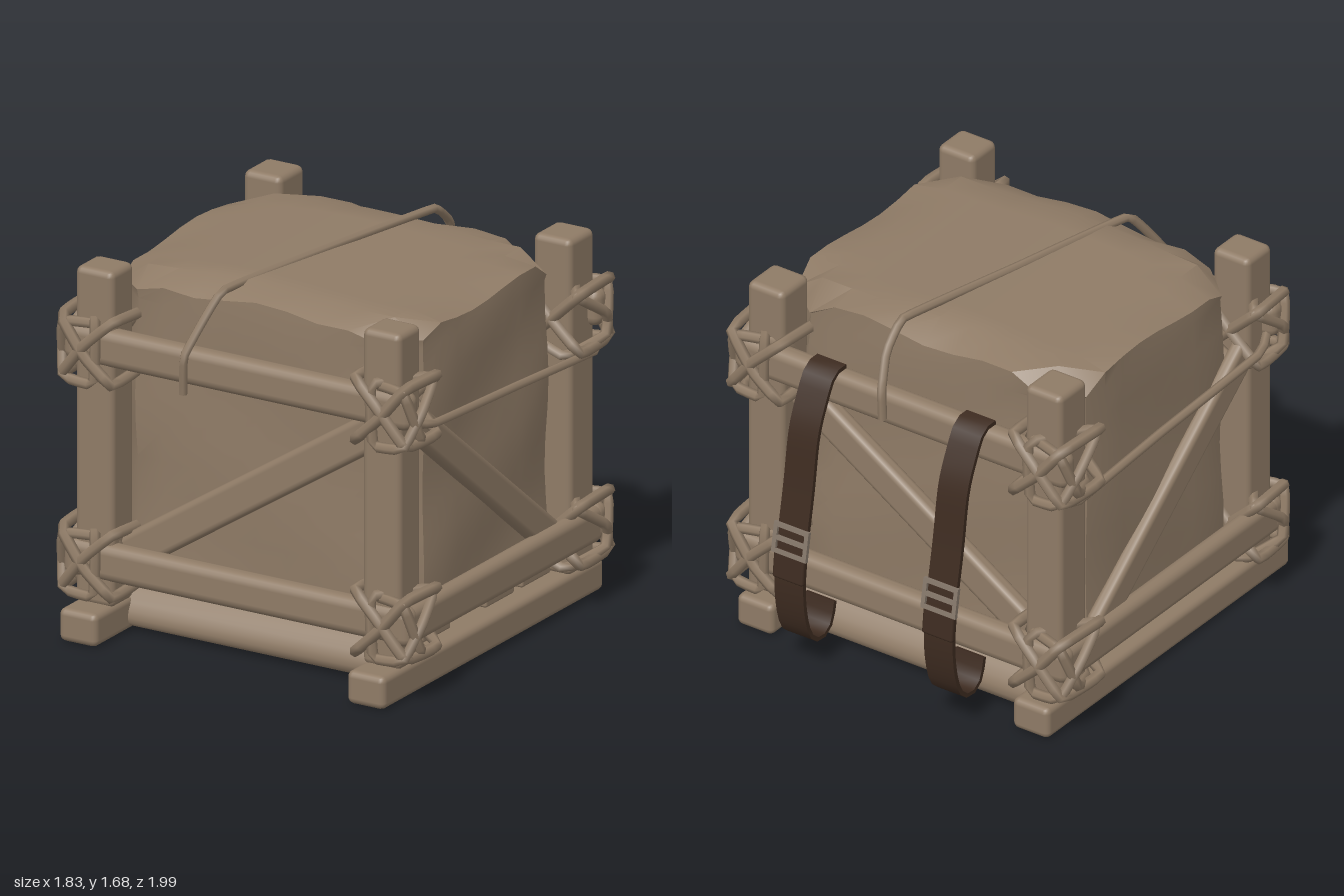
import * as THREE from 'three';
import { RoundedBoxGeometry } from 'three/addons/geometries/RoundedBoxGeometry.js';
import { mergeVertices, toCreasedNormals } from 'three/addons/utils/BufferGeometryUtils.js';

const V = (x, y, z) => new THREE.Vector3(x, y, z);

export function createModel() {
  const root = new THREE.Group();
  const canvas = new THREE.MeshStandardMaterial({ color: 0x8f7b66 });
  canvas.name = 'weatheredTan';
  const leather = new THREE.MeshStandardMaterial({ color: 0x3d2b20 });
  leather.name = 'darkLeather';
  const metal = new THREE.MeshStandardMaterial({ color: 0x85776a });
  metal.name = 'buckleMetal';

  const add = (name, geo, mat = canvas, parent = root) => {
    const m = new THREE.Mesh(geo, mat);
    m.name = name;
    parent.add(m);
    return m;
  };
  // soft-edged wooden beam
  const beam = (name, size, pos, r = 0.03) => {
    const m = add(name, new RoundedBoxGeometry(...size, 2, r));
    m.position.set(...pos);
    return m;
  };
  const rope = (name, pts, r, closed = false, seg = 24) =>
    add(name, new THREE.TubeGeometry(
      new THREE.CatmullRomCurve3(pts, closed, 'catmullrom', 0.12), seg, r, 6, closed));

  // cloth bundle: box with chamfered upright corners, softened top and gentle lumps
  const box = new THREE.BoxGeometry(1.54, 1.42, 1.26, 10, 10, 10);
  box.deleteAttribute('uv');
  box.deleteAttribute('normal');
  const bundle = mergeVertices(box);
  const p = bundle.attributes.position;
  for (let i = 0; i < p.count; i++) {
    let x = p.getX(i), y = p.getY(i), z = p.getZ(i);
    const u = Math.abs(x) / 0.77, w = Math.abs(z) / 0.63;
    const edge = Math.max(u, w), k = Math.min(1, 1.76 / (u + w + 1e-6));
    x *= k;
    z *= k;
    if (y > 0.7) {
      if (edge > 0.99) {
        y -= 0.06 + 0.02 * Math.sin(x * 9 + z * 7);
        if (k < 1) y -= 0.06;
      } else y += 0.015 * Math.sin(x * 5 + 2) - 0.01;
    } else if (edge > 0.99) {
      const s = 1 + 0.01 * Math.sin(y * 8 + x * 4 + z * 5);
      x *= s;
      z *= s;
    }
    p.setXYZ(i, x, y, z);
  }
  add('clothBundle', toCreasedNormals(bundle, 0.6)).position.set(0, 0.935, 0.09);

  // base slab between the runners, with rounded front and back
  const slabShape = new THREE.Shape();
  slabShape.moveTo(-0.7, 0.015);
  slabShape.bezierCurveTo(-0.77, 0.03, -0.77, 0.13, -0.58, 0.25);
  slabShape.lineTo(0.5, 0.25);
  slabShape.bezierCurveTo(0.68, 0.13, 0.68, 0.03, 0.6, 0.015);
  const slab = new THREE.ExtrudeGeometry(slabShape, { depth: 1.3, bevelEnabled: false, curveSegments: 8 });
  slab.translate(0, 0, -0.65).rotateY(Math.PI / 2);
  add('baseSlab', toCreasedNormals(slab, 0.7));

  // slats resting on the runners
  for (const z of [0.47, -0.04, -0.33]) {
    beam('floorSlat', [1.5, 0.07, 0.23], [0, 0.2, z], 0.012);
  }

  // runners, posts and side pieces, mirrored
  const zFront = 0.78, zBack = -0.585;
  for (const s of [-1, 1]) {
    const side = s > 0 ? 'left' : 'right';
    beam(side + 'Runner', [0.19, 0.15, 1.77], [s * 0.72, 0.077, 0.115]);
    beam(side + 'FrontPost', [0.19, 1.52, 0.18], [s * 0.718, 0.9, zFront]);
    beam(side + 'BackPost', [0.19, 1.52, 0.2], [s * 0.725, 0.905, zBack]);
    beam(side + 'LowerRail', [0.085, 0.17, 1.58], [s * 0.825, 0.34, 0.1], 0.04);
    const brace = beam(side + 'DiagonalBrace', [0.07, 0.15, 1.4], [s * 0.785, 0.79, 0.17]);
    brace.rotation.x = -Math.atan2(0.86, 1.08);
    rope(side + 'SideRope', [V(s * 0.8, 1.27, 0.86), V(s * 0.87, 1.22, 0.7),
      V(s * 0.855, 1.17, 0), V(s * 0.86, 1.135, -0.62), V(s * 0.8, 1.15, -0.73)], 0.02);
  }

  // rails and diagonals on the front and back
  for (const [name, zRail, zBrace] of [['front', 0.84, 0.755], ['back', -0.675, -0.575]]) {
    for (const y of [0.345, 1.315]) {
      beam(name + 'Rail', [1.74, 0.17, 0.1], [0, y, zRail], 0.045);
    }
    const brace = beam(name + 'DiagonalBrace', [1.66, 0.16, 0.08], [0.03, 0.78, zBrace]);
    brace.rotation.z = Math.atan2(0.89, 1.37);
  }

  // crossed rope lashings at the eight joints
  for (const sx of [-1, 1]) for (const front of [true, false]) for (const y of [0.345, 1.305]) {
    const out = front ? 0.9 : -0.735, mid = front ? 0.83 : -0.655, inn = front ? 0.67 : -0.47;
    const P = (x, dy, z) => V(sx * x, y + dy, z);
    for (const t of [-1, 1]) {
      rope('crossLashing', [P(0.61, t * 0.14, out), P(0.74, t * 0.02, out + (front ? 0.02 : -0.02)),
        P(0.86, -t * 0.13, out), P(0.875, -t * 0.13, inn), P(0.61, t * 0.12, inn)], 0.026, true);
    }
    rope('railLashing', [P(0.85, 0.11, out), P(0.89, -0.1, mid), P(0.8, -0.16, inn),
      P(0.66, -0.1, inn), P(0.64, 0.1, mid)], 0.024, true);
    rope('endLashing', [P(0.86, 0.12, inn), P(0.895, 0, mid), P(0.85, -0.14, out),
      P(0.7, -0.15, out), P(0.69, 0.12, out)], 0.024, true);
  }

  // rope thrown over the top
  rope('topRope', [V(-0.25, 1.2, 0.9), V(-0.235, 1.38, 0.915), V(-0.16, 1.63, 0.73), V(-0.03, 1.65, 0.1),
    V(0.11, 1.66, -0.53), V(0.1, 1.56, -0.67), V(0.07, 1.42, -0.745), V(0.065, 1.28, -0.745)], 0.02, false, 48);

  // shoulder straps: a thick ribbon outline swept sideways
  const path = new THREE.SplineCurve([[0.66, 1.41], [0.74, 1.4], [0.8, 1.3], [0.86, 1.15], [0.9, 0.9],
    [0.95, 0.62], [0.965, 0.45], [0.95, 0.3], [0.91, 0.19], [0.84, 0.145], [0.77, 0.18], [0.74, 0.28],
  ].map(([a, b]) => new THREE.Vector2(a, b)));
  const outer = [], inner = [];
  for (let i = 0; i <= 30; i++) {
    const c = path.getPointAt(i / 30), t = path.getTangentAt(i / 30);
    const n = new THREE.Vector2(-t.y, t.x).multiplyScalar(0.01);
    outer.push(c.clone().add(n));
    inner.unshift(c.clone().sub(n));
  }
  const strapGeo = new THREE.ExtrudeGeometry(new THREE.Shape([...outer, ...inner]),
    { depth: 0.15, bevelEnabled: false });
  strapGeo.translate(0, 0, -0.075).rotateY(Math.PI / 2);

  // buckle frame with two openings
  const frame = new THREE.Shape([[-0.09, -0.07], [0.09, -0.07], [0.09, 0.07], [-0.09, 0.07]]
    .map(([a, b]) => new THREE.Vector2(a, b)));
  for (const [lo, hi] of [[-0.05, -0.01], [0.01, 0.05]]) {
    frame.holes.push(new THREE.Path([[-0.07, lo], [-0.07, hi], [0.07, hi], [0.07, lo]]
      .map(([a, b]) => new THREE.Vector2(a, b))));
  }
  const buckleGeo = new THREE.ExtrudeGeometry(frame, { depth: 0.018, bevelEnabled: false });

  for (const s of [-1, 1]) {
    const strap = new THREE.Group();
    strap.name = s > 0 ? 'leftStrap' : 'rightStrap';
    strap.position.x = s * 0.39;
    add('strapBand', toCreasedNormals(strapGeo, 0.8), leather, strap);
    const buckle = add('buckle', buckleGeo, metal, strap);
    buckle.position.set(0, 0.66, -0.968);
    buckle.rotation.x = 0.17;
    const keeper = add('strapKeeper', new RoundedBoxGeometry(0.16, 0.14, 0.035, 2, 0.012), leather, strap);
    keeper.position.set(0, 0.54, -0.965);
    keeper.rotation.x = 0.1;
    root.add(strap);
  }
  return root;
}
